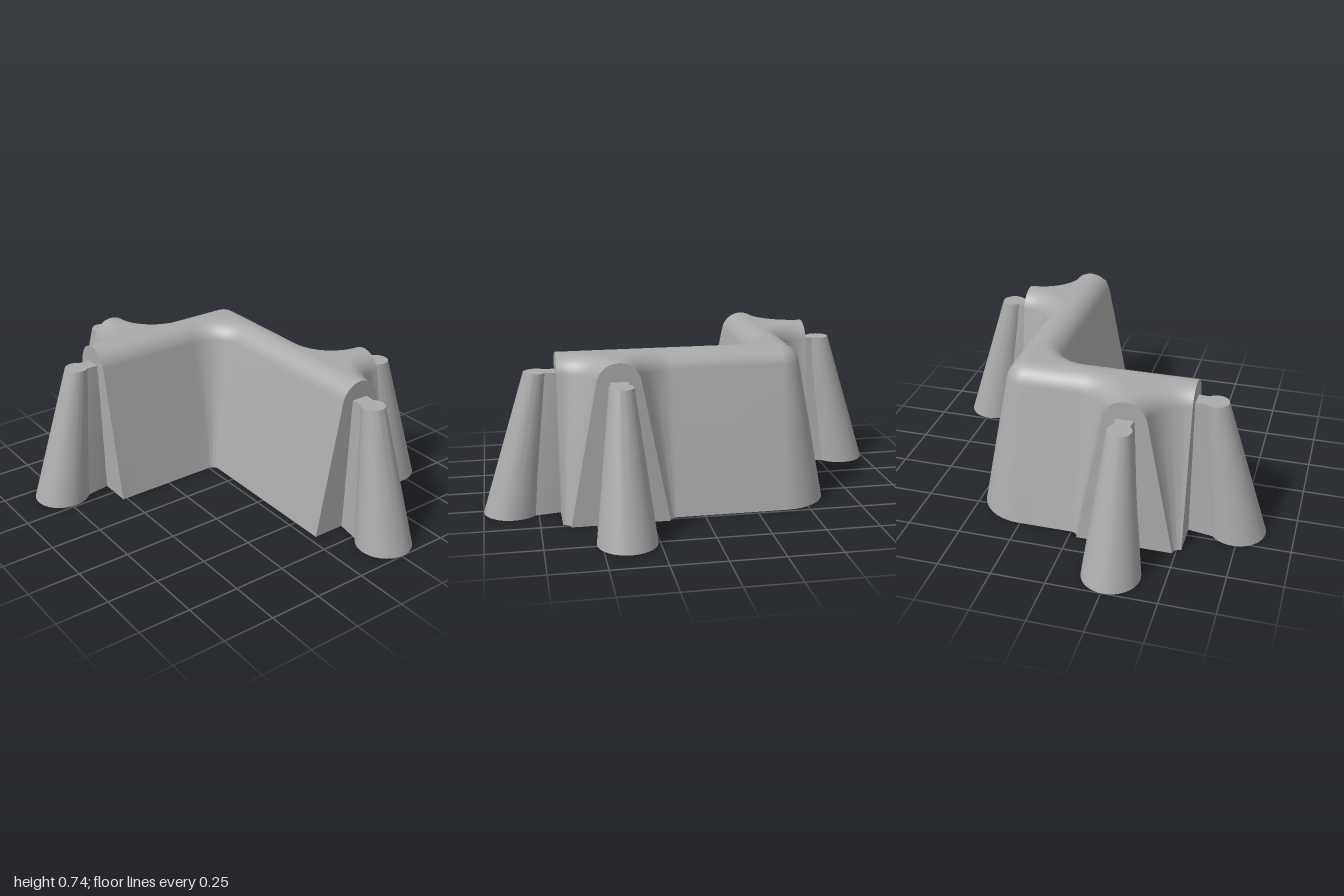
import * as THREE from 'three';
import { toCreasedNormals } from 'three/addons/utils/BufferGeometryUtils.js';

const ARM_X = 0.39, ARM_Z = 0.26, PITCH = 0.26; // arm centre lines, fillet pitch
const END_X = ARM_X + PITCH, END_Z = ARM_Z + PITCH;
const KNOB_H = 0.66;

// Plan outline of the angled wall at half-thickness d, anticlockwise from above
function outline(d) {
  const pts = [];
  const arc = (cx, cz, r, from, to) => {
    for (let i = 0; i <= 16; i++) {
      const a = THREE.MathUtils.degToRad(from + (to - from) * i / 16);
      pts.push([cx + r * Math.cos(a), cz + r * Math.sin(a)]);
    }
  };
  const r = PITCH - d;
  pts.push([-ARM_X + d, END_Z]);
  arc(-ARM_X + PITCH, 0, r, 180, 270);        // inside corner
  pts.push([END_X, -ARM_Z + d]);
  arc(END_X, -END_Z, r, 90, 180);             // back branch, outer fillet
  arc(ARM_X - PITCH, -END_Z, r, 0, 90);       // back branch, inner fillet
  arc(-ARM_X, -ARM_Z, d, 270, 180);           // outside corner
  arc(-END_X, 0, r, 0, 90);                   // side branch, inner fillet
  arc(-END_X, END_Z, r, 270, 360);            // side branch, outer fillet
  return pts;
}

// Tapered wall with a rounded ridge, lofted through level outlines
function wallGeometry() {
  const profile = [[0.225, 0]];
  const R = 0.1, cy = 0.645, start = 0.19;
  for (let i = 0; i <= 12; i++) {
    const a = start + (Math.PI / 2 - start - 0.03) * i / 12;
    profile.push([R * Math.cos(a), cy + R * Math.sin(a)]);
  }
  const rings = profile.map(([d]) => outline(d));
  const n = rings[0].length, pos = [], idx = [];
  rings.forEach((ring, k) => ring.forEach(([x, z]) => pos.push(x, profile[k][1], z)));
  for (let k = 0; k < rings.length - 1; k++) {
    for (let i = 0; i < n; i++) {
      const j = (i + 1) % n;
      const a = k * n + i, b = k * n + j, c = b + n, e = a + n;
      idx.push(a, b, c, a, c, e);
    }
  }
  const cap = (k, flip) => {
    const contour = rings[k].map(([x, z]) => new THREE.Vector2(x, -z));
    for (const [a, b, c] of THREE.ShapeUtils.triangulateShape(contour, [])) {
      const o = k * n;
      if (flip) idx.push(o + a, o + c, o + b);
      else idx.push(o + a, o + b, o + c);
    }
  };
  cap(0, true);
  cap(rings.length - 1, false);
  const g = new THREE.BufferGeometry();
  g.setAttribute('position', new THREE.Float32BufferAttribute(pos, 3));
  g.setIndex(idx);
  return toCreasedNormals(g, 0.6);
}

// Cone leaning back toward the wall
function coneGeometry() {
  const g = new THREE.CylinderGeometry(0.055, 0.133, KNOB_H, 48);
  g.translate(0, KNOB_H / 2, 0);
  const p = g.attributes.position;
  for (let i = 0; i < p.count; i++) p.setX(i, p.getX(i) + 0.217 - 0.127 * p.getY(i) / KNOB_H);
  return toCreasedNormals(g, 0.6);
}

// Tapered web joining the cone to the wall
function neckGeometry() {
  const g = new THREE.BoxGeometry(1, 1, 1);
  const p = g.attributes.position;
  for (let i = 0; i < p.count; i++) {
    const far = p.getX(i) > 0, top = p.getY(i) > 0, s = Math.sign(p.getZ(i));
    const x = far ? (top ? 0.075 : 0.14) : -0.01;
    const w = top ? (far ? 0.035 : 0.042) : (far ? 0.09 : 0.065);
    p.setXYZ(i, x, top ? KNOB_H : 0, s * w);
  }
  return toCreasedNormals(g, 0.3);
}

export function createModel() {
  const model = new THREE.Group();
  model.name = 'cornerWallConnector';
  const grey = new THREE.MeshStandardMaterial({ color: 0xaaaaaa });
  grey.name = 'grey';

  const add = (parent, name, geometry) => {
    const mesh = new THREE.Mesh(geometry, grey);
    mesh.name = name;
    parent.add(mesh);
  };
  add(model, 'cornerWall', wallGeometry());

  // One connector knob on each open end: name, x, z, turn
  const cone = coneGeometry(), neck = neckGeometry();
  const ends = [
    ['leftKnob', END_X, -ARM_Z, 0],
    ['rightKnob', -END_X, ARM_Z, Math.PI],
    ['backKnob', ARM_X, -END_Z, Math.PI / 2],
    ['frontKnob', -ARM_X, END_Z, -Math.PI / 2],
  ];
  for (const [name, x, z, turn] of ends) {
    const knob = new THREE.Group();
    knob.name = name;
    add(knob, 'cone', cone);
    add(knob, 'neck', neck);
    knob.position.set(x, 0, z);
    knob.rotation.y = turn;
    model.add(knob);
  }
  return model;
}
